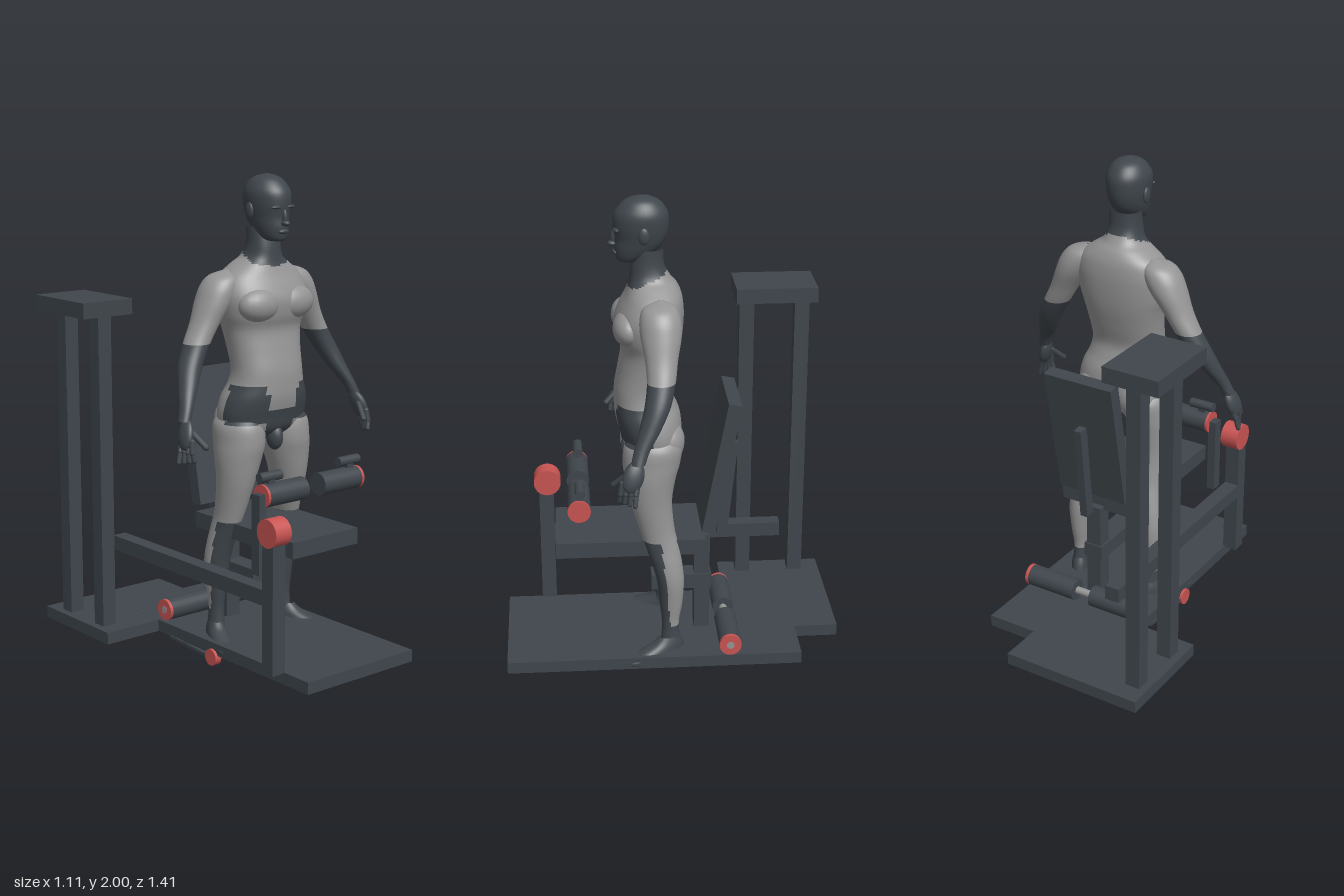
import * as THREE from 'three';

const mat = (name, color) => {
  const m = new THREE.MeshStandardMaterial({ color });
  m.name = name;
  return m;
};

export function createModel() {
  const dark = mat('charcoal', 0x3f464c);
  const red = mat('red', 0xc85452);
  const skin = mat('grey', 0x959595);
  const model = new THREE.Group();
  model.name = 'exerciseMachineWithFigure';
  const machine = new THREE.Group();
  machine.name = 'machine';
  const figure = new THREE.Group();
  figure.name = 'figure';
  figure.position.x = 0.045;
  model.add(machine, figure);

  const add = (parent, name, geo, material) => {
    const m = new THREE.Mesh(geo, material);
    m.name = name;
    parent.add(m);
    return m;
  };
  // Box given by its extents on each axis
  const box = (name, [x0, x1], [y0, y1], [z0, z1], material = dark) => {
    const m = add(machine, name, new THREE.BoxGeometry(x1 - x0, y1 - y0, z1 - z0), material);
    m.position.set((x0 + x1) / 2, (y0 + y1) / 2, (z0 + z1) / 2);
    return m;
  };
  // Cylinder lying along x
  const roller = (name, x0, x1, y, z, r, material = dark) => {
    const g = new THREE.CylinderGeometry(r, r, x1 - x0, 24).rotateZ(Math.PI / 2);
    add(machine, name, g, material).position.set((x0 + x1) / 2, y, z);
  };

  // Base plates
  box('basePlate', [-0.24, 0.33], [0.047, 0.097], [-0.525, 0.705]);
  box('weightBasePlate', [-0.505, 0.11], [0.046, 0.0965], [-0.71, -0.25]);

  // Rear weight tower
  for (const z of [-0.357, -0.597]) box('towerPost', [-0.473, -0.41], [0.09, 1.43], [z - 0.032, z + 0.032]);
  box('towerCap', [-0.56, -0.318], [1.42, 1.485], [-0.65, -0.302]);

  // Side rail and front post
  box('sideRail', [-0.294, -0.23], [0.365, 0.428], [-0.497, 0.5]);
  box('frontPost', [-0.294, -0.23], [0.09, 0.66], [0.495, 0.558]);
  roller('frontPostKnob', -0.296, -0.217, 0.66, 0.522, 0.058, red);

  // Seat and its support
  box('seat', [-0.13, 0.22], [0.518, 0.585], [-0.127, 0.49]);
  box('seatPost', [0.012, 0.08], [0.09, 0.535], [-0.158, -0.092]);
  box('seatBracket', [0.002, 0.088], [0.288, 0.353], [-0.165, 0.09]);

  // Backrest and its brace
  const back = box('backrest', [-0.115, 0.205], [0.603, 1.177], [-0.22, -0.164]);
  back.rotation.x = -0.185;
  const brace = box('backrestBrace', [0.028, 0.062], [0.53, 0.95], [-0.253, -0.208]);
  brace.rotation.x = -0.1;

  // Ankle rollers on a common rod
  roller('ankleRod', -0.228, 0.333, 0.144, -0.225, 0.016, skin);
  roller('ankleRoller', -0.212, 0.005, 0.144, -0.225, 0.046);
  roller('ankleRoller', 0.088, 0.315, 0.144, -0.225, 0.046);
  roller('ankleCap', -0.226, -0.212, 0.144, -0.225, 0.046, red);
  roller('ankleCap', 0.315, 0.331, 0.144, -0.225, 0.046, red);

  // Thigh rollers with grips
  box('rollerArm', [-0.242, -0.206], [0.453, 0.78], [0.369, 0.416]);
  roller('thighRoller', -0.2, 0.003, 0.768, 0.392, 0.047);
  roller('thighRoller', 0.088, 0.292, 0.768, 0.392, 0.047);
  roller('thighCap', -0.211, -0.2, 0.768, 0.392, 0.047, red);
  roller('thighCap', 0.292, 0.304, 0.768, 0.392, 0.047, red);
  for (const x of [-0.165, 0.255]) {
    roller('grip', x - 0.055, x + 0.055, 0.842, 0.388, 0.02);
    box('gripStem', [x - 0.016, x + 0.016], [0.8, 0.84], [0.376, 0.404]);
  }

  // Foot lever under the base
  box('footLever', [-0.246, -0.226], [0.032, 0.045], [-0.16, 0.12]).rotation.x = 0.06;
  roller('footLeverKnob', -0.252, -0.222, 0.035, 0.12, 0.035, red);

  // Smooth skin through horizontal rings [y, centreX, radiusX, backZ, frontZ], bottom to top;
  // isDark picks the colour of each face
  const loft = (name, rings, isDark, power = 1, parent = figure) => {
    const seg = 40, sub = 5, rows = [], pos = [], lists = [[], []];
    const at = (i) => rings[Math.min(Math.max(i, 0), rings.length - 1)];
    for (let i = 0; i < rings.length - 1; i++) {
      for (let k = 0; k < sub; k++) {
        const t = k / sub;
        rows.push(at(i).map((p1, c) => {
          const p0 = at(i - 1)[c], p2 = at(i + 1)[c], p3 = at(i + 2)[c];
          return p1 + 0.5 * t * (p2 - p0 + t * (2 * p0 - 5 * p1 + 4 * p2 - p3 + t * (3 * (p1 - p2) + p3 - p0)));
        }));
      }
    }
    rows.push(at(rings.length));
    const bend = (v) => Math.sign(v) * Math.abs(v) ** power;
    for (const [y, cx, rx, zb, zf] of rows) {
      for (let j = 0; j < seg; j++) {
        const a = (j / seg) * Math.PI * 2;
        pos.push(cx + rx * bend(Math.cos(a)), y, (zb + zf) / 2 + ((zf - zb) / 2) * bend(Math.sin(a)));
      }
    }
    for (let i = 0; i < rows.length - 1; i++) {
      for (let j = 0; j < seg; j++) {
        const n = (j + 1) % seg, a = i * seg + j, b = a + seg, c = b - j + n, d = i * seg + n;
        const mid = (k) => (pos[a * 3 + k] + pos[c * 3 + k]) / 2;
        lists[isDark(mid(0), mid(1), mid(2)) ? 0 : 1].push(a, b, c, a, c, d);
      }
    }
    const g = new THREE.BufferGeometry();
    g.setAttribute('position', new THREE.Float32BufferAttribute(pos, 3));
    g.setIndex([...lists[0], ...lists[1]]);
    g.addGroup(0, lists[0].length, 0);
    g.addGroup(lists[0].length, lists[1].length, 1);
    g.computeVertexNormals();
    return add(parent, name, g, [dark, skin]);
  };
  const blob = (name, [x, y, z], [rx, ry, rz], material) => {
    const m = add(figure, name, new THREE.SphereGeometry(1, 20, 14), material);
    m.position.set(x, y, z);
    m.scale.set(rx, ry, rz);
    return m;
  };
  const finger = (name, a, b, r) => {
    const p = new THREE.Vector3(...a), q = new THREE.Vector3(...b), d = q.clone().sub(p);
    const m = add(figure, name, new THREE.CapsuleGeometry(r, d.length(), 4, 8), dark);
    m.position.copy(p).add(q).multiplyScalar(0.5);
    m.quaternion.setFromUnitVectors(new THREE.Vector3(0, 1, 0), d.normalize());
  };

  // Torso and neck, with dark collar and hip patches
  const hips = (x, y, z) => z > 0.1 &&
    ((Math.abs(x) > 0.077 && y > 1.0 && y < 1.165) || (Math.abs(x) <= 0.077 && y < 1.06));
  loft('torso', [
    [0.925, 0, 0.06, 0.03, 0.15], [0.97, 0, 0.18, -0.03, 0.2], [1.03, 0, 0.203, -0.038, 0.218],
    [1.1, 0, 0.193, -0.03, 0.235], [1.16, 0, 0.168, -0.005, 0.238], [1.22, 0, 0.158, 0.01, 0.235],
    [1.3, 0, 0.163, -0.01, 0.22], [1.38, 0, 0.176, -0.03, 0.208], [1.44, 0, 0.195, -0.04, 0.225],
    [1.5, 0, 0.205, -0.045, 0.232], [1.55, 0, 0.202, -0.045, 0.215], [1.6, 0, 0.178, -0.038, 0.19],
    [1.64, 0, 0.125, -0.02, 0.175], [1.67, 0, 0.083, 0.005, 0.17], [1.72, 0, 0.068, 0.03, 0.165],
    [1.79, 0, 0.066, 0.035, 0.15],
  ], (x, y, z) => y + 0.4 * (z - 0.04) > 1.69 || hips(x, y, z), 0.88);
  blob('groin', [0, 0.935, 0.175], [0.032, 0.055, 0.04], dark);

  // Head with simple features
  loft('head', [
    [1.733, 0, 0.004, 0.165, 0.185], [1.738, 0, 0.034, 0.13, 0.212], [1.755, 0, 0.052, 0.1, 0.222],
    [1.79, 0, 0.067, 0.05, 0.228], [1.83, 0, 0.077, 0.024, 0.226], [1.88, 0, 0.086, 0.013, 0.233],
    [1.93, 0, 0.086, 0.015, 0.228], [1.97, 0, 0.066, 0.04, 0.198], [1.99, 0, 0.04, 0.073, 0.165],
    [2.0, 0, 0.003, 0.118, 0.122],
  ], () => true);
  blob('noseBridge', [0, 1.83, 0.224], [0.011, 0.036, 0.018], dark);
  blob('noseTip', [0, 1.808, 0.236], [0.017, 0.012, 0.02], dark);
  blob('lips', [0, 1.775, 0.224], [0.026, 0.01, 0.012], dark);

  for (const s of [-1, 1]) {
    const flip = (rings) => rings.map(([y, cx, ...r]) => [y, cx * s, ...r]);
    blob('ear', [s * 0.086, 1.855, 0.115], [0.011, 0.034, 0.022], dark);
    blob('brow', [s * 0.034, 1.872, 0.219], [0.028, 0.008, 0.014], dark);
    blob('chestMuscle', [s * 0.088, 1.485, 0.18], [0.1, 0.07, 0.062], skin);
    blob('buttock', [s * 0.092, 1.0, 0.03], [0.092, 0.095, 0.075], skin);

    // Arm with dark forearm
    loft('arm', flip([
      [1.06, 0.456, 0.026, 0.135, 0.19], [1.11, 0.435, 0.028, 0.115, 0.178], [1.18, 0.4, 0.04, 0.07, 0.155],
      [1.26, 0.362, 0.05, 0.03, 0.132], [1.34, 0.316, 0.055, 0.008, 0.12], [1.42, 0.27, 0.06, -0.005, 0.125],
      [1.5, 0.226, 0.074, -0.022, 0.14], [1.56, 0.196, 0.078, -0.02, 0.14], [1.6, 0.175, 0.06, 0, 0.12],
      [1.622, 0.155, 0.004, 0.05, 0.06],
    ]), (x, y) => y < 1.335);

    // Hand
    blob('palm', [s * 0.466, 1.01, 0.183], [0.023, 0.065, 0.042], dark).rotation.set(-0.3, 0, s * 0.3);
    for (let i = 0; i < 4; i++) {
      const z = 0.162 + i * 0.02;
      const knuckle = [s * (0.486 - i * 0.004), 0.945, z + 0.012];
      finger('finger', [s * 0.47, 0.99, z + 0.004], knuckle, 0.0115);
      finger('fingerTip', knuckle, [s * (0.497 - i * 0.01), 0.902 + i * 0.004, z + 0.016], 0.01);
    }
    finger('thumb', [s * 0.45, 1.02, 0.2], [s * 0.425, 0.965, 0.258], 0.012);

    // Leg, dark at the shin and grey at the calf
    loft('leg', flip([
      [0.09, 0.185, 0.036, -0.03, 0.065], [0.2, 0.183, 0.03, -0.015, 0.055], [0.3, 0.181, 0.041, -0.03, 0.065],
      [0.4, 0.178, 0.053, -0.037, 0.075], [0.48, 0.172, 0.053, -0.03, 0.095], [0.56, 0.162, 0.051, -0.016, 0.122],
      [0.63, 0.152, 0.058, 0, 0.145], [0.75, 0.142, 0.075, 0.01, 0.18], [0.85, 0.13, 0.093, -0.005, 0.2],
      [0.92, 0.12, 0.1, -0.025, 0.21], [1.0, 0.115, 0.095, -0.03, 0.2], [1.06, 0.1, 0.05, 0.02, 0.15],
    ]), (x, y, z) => y < 0.2 || (y < 0.585 && z > 0.03 + (y - 0.3) * 0.1) || (y > 1 && z > 0.1));

    // Foot turned outward
    const foot = loft('foot', [
      [0.05, 0, 0.004, 0.06, 0.08], [0.053, 0, 0.04, -0.05, 0.2], [0.075, 0, 0.046, -0.055, 0.212],
      [0.1, 0, 0.042, -0.05, 0.15], [0.125, 0, 0.036, -0.042, 0.09], [0.15, 0, 0.028, -0.03, 0.058],
    ], () => true, 0.85);
    foot.position.set(s * 0.185, 0, 0.01);
    foot.rotation.y = s * 0.4;
  }
  return model;
}
